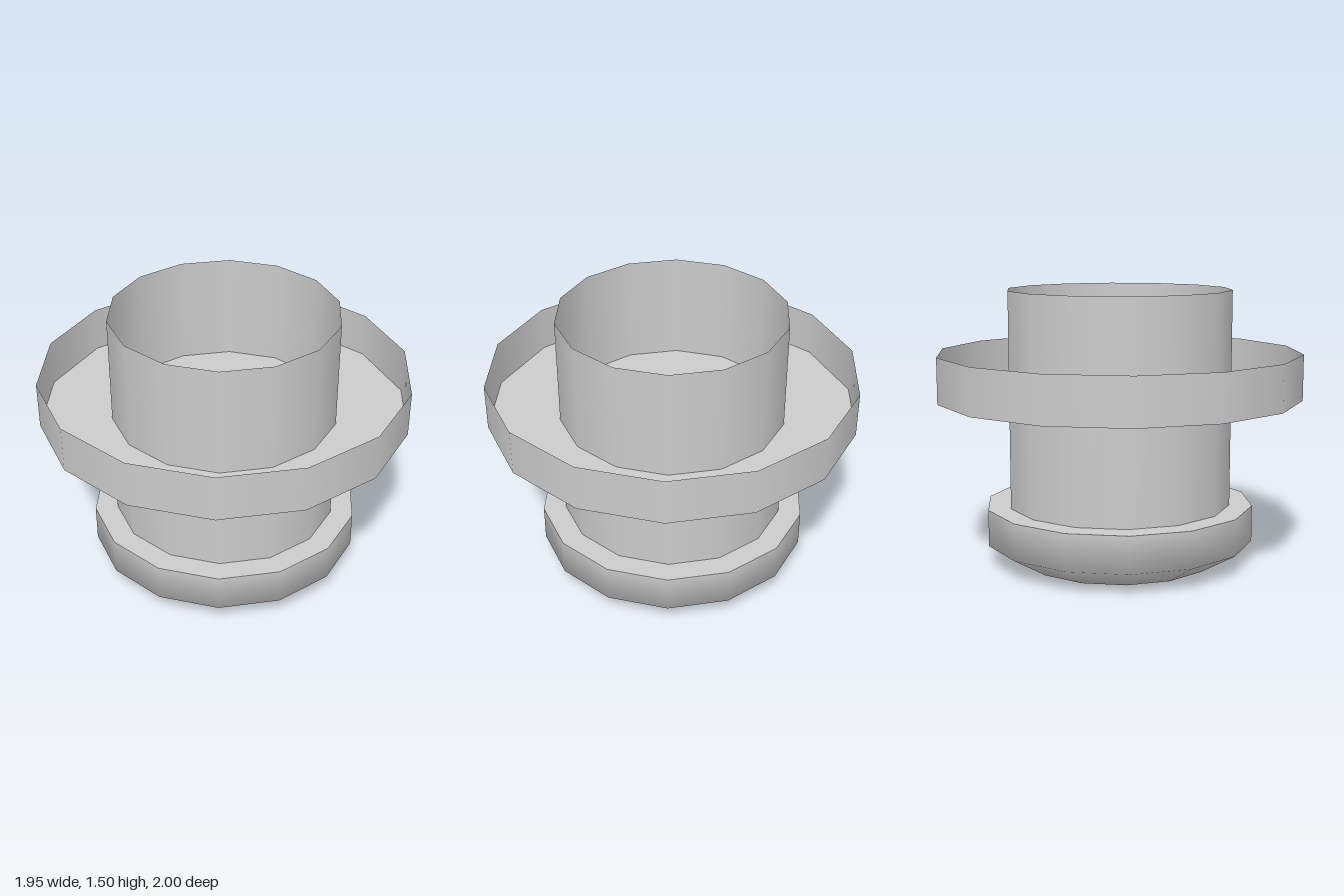
import * as THREE from 'three';

const SIDES = 14;
const material = new THREE.MeshStandardMaterial({ color: 0xcccccc, side: THREE.DoubleSide });

function add(group, name, geometry, y = 0) {
  const mesh = new THREE.Mesh(geometry, material);
  mesh.name = name;
  mesh.position.y = y;
  group.add(mesh);
  return mesh;
}

// Thin open wall standing between two heights
function addWall(group, name, radius, y0, y1) {
  const wall = new THREE.CylinderGeometry(radius, radius, y1 - y0, SIDES, 1, true);
  return add(group, name, wall, (y0 + y1) / 2);
}

// Flat disc turned so a corner points to +z, like the walls
function addDisc(group, name, radius, y) {
  const disc = new THREE.CircleGeometry(radius, SIDES, Math.PI / 2);
  disc.rotateX(-Math.PI / 2);
  return add(group, name, disc, y);
}

export function createModel() {
  const model = new THREE.Group();
  model.name = 'flangedTube';

  // Rounded foot with a flat top
  const profile = [[0, 0], [0.535, 0], [0.74, 0.12], [0.74, 0.32]]
    .map(([r, y]) => new THREE.Vector2(r, y));
  add(model, 'foot', new THREE.LatheGeometry(profile, SIDES));
  addDisc(model, 'footTop', 0.74, 0.32);

  // Open central tube
  addWall(model, 'tube', 0.615, 0.32, 1.5);

  // Shallow tray around the tube
  addDisc(model, 'trayFloor', 1, 0.91);
  addWall(model, 'trayRim', 1, 0.91, 1.16);

  return model;
}
